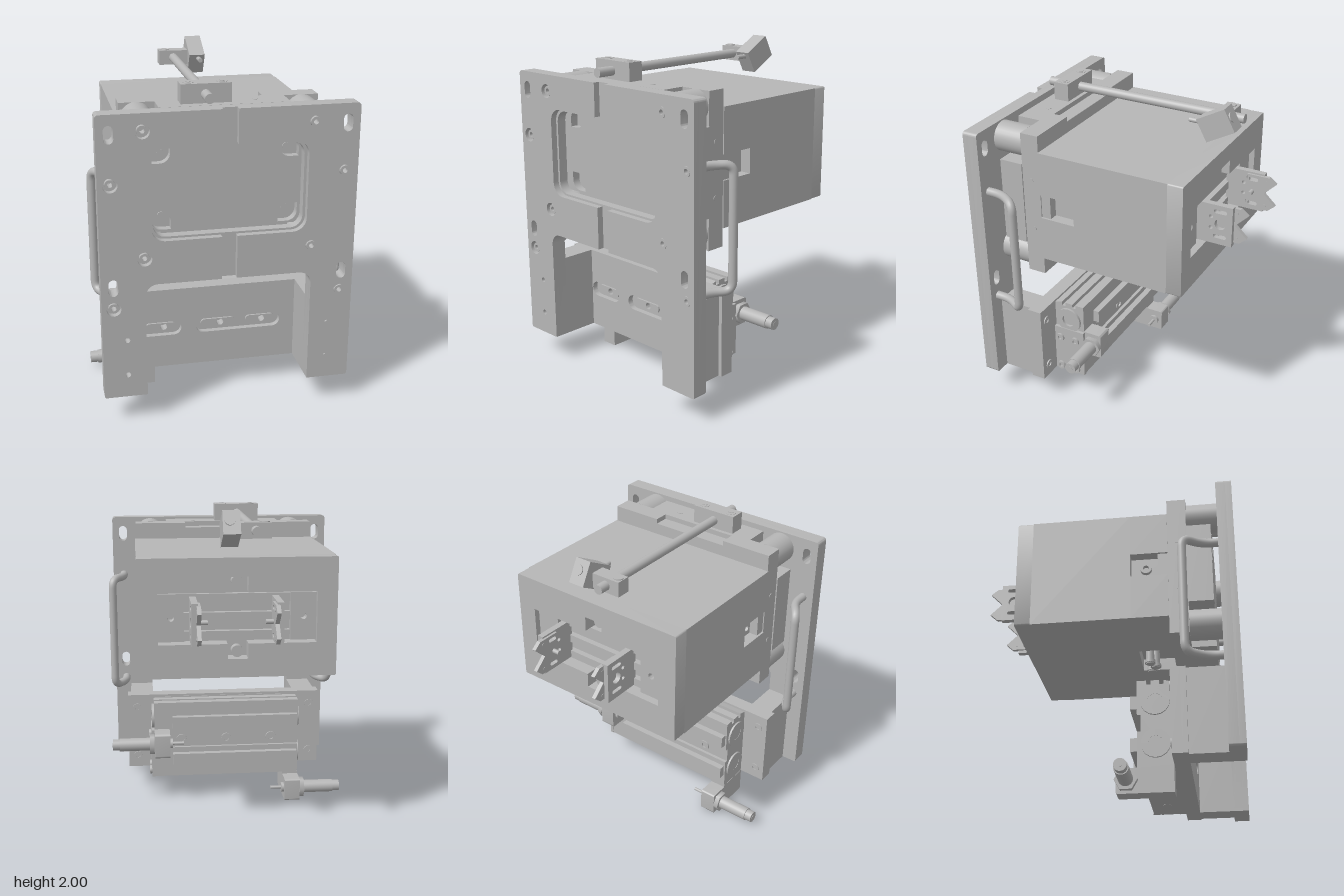
import * as THREE from 'three';
import { toCreasedNormals } from 'three/addons/utils/BufferGeometryUtils.js';

const metal = new THREE.MeshStandardMaterial({ color: 0xb6b6b6 });
metal.name = 'grey metal';

// Outline from [x, y, cornerRadius] points
function outline(pts, Type = THREE.Shape) {
  const s = new Type();
  pts.forEach(([x, y, r = 0], i) => {
    const toward = (q) => {
      const d = Math.hypot(q[0] - x, q[1] - y);
      return [x + (q[0] - x) * r / d, y + (q[1] - y) * r / d];
    };
    const a = toward(pts[(i + pts.length - 1) % pts.length]);
    const b = toward(pts[(i + 1) % pts.length]);
    if (i) s.lineTo(...a); else s.moveTo(...a);
    if (r) s.bezierCurveTo(a[0] + (x - a[0]) * 0.55, a[1] + (y - a[1]) * 0.55,
      b[0] + (x - b[0]) * 0.55, b[1] + (y - b[1]) * 0.55, ...b);
  });
  s.closePath();
  return s;
}
const rect = (x0, x1, y0, y1, r = 0, Type) =>
  outline([[x0, y0, r], [x1, y0, r], [x1, y1, r], [x0, y1, r]], Type);
const hole = (x, y, r) => new THREE.Path().absarc(x, y, r, 0, Math.PI * 2, true);
// Adds the mirror image of a half outline across x = 0
const mirrored = (pts) => [...pts, ...pts.map(([x, y, r]) => [-x, y, r]).reverse()];

export function createModel() {
  const root = new THREE.Group();
  root.name = 'gripperModule';

  const add = (name, geo, parent = root) => {
    const m = new THREE.Mesh(geo, metal);
    m.name = name;
    parent.add(m);
    return m;
  };
  const box = (name, x0, x1, y0, y1, z0, z1, parent) => {
    const g = new THREE.BoxGeometry(x1 - x0, y1 - y0, z1 - z0);
    g.translate((x0 + x1) / 2, (y0 + y1) / 2, (z0 + z1) / 2);
    return add(name, g, parent);
  };
  // Extrusion along z from z0 to z1
  const slab = (name, shape, z0, z1, holes = [], parent) => {
    shape.holes.push(...holes);
    const g = new THREE.ExtrudeGeometry(shape, { depth: z1 - z0, bevelEnabled: false, curveSegments: 8 });
    g.translate(0, 0, z0);
    return add(name, toCreasedNormals(g, 0.6), parent);
  };
  // Extrusion along x, with the outline given in (z, y)
  const bar = (name, shape, x0, x1, holes = [], parent) => {
    shape.holes.push(...holes);
    const g = new THREE.ExtrudeGeometry(shape, { depth: x1 - x0, bevelEnabled: false, curveSegments: 8 });
    g.rotateY(-Math.PI / 2).translate(x1, 0, 0);
    return add(name, toCreasedNormals(g, 0.6), parent);
  };
  // Cylinder centred at a point, along the given axis
  const cyl = (name, axis, r, len, x, y, z, parent, sides = 24) => {
    const g = new THREE.CylinderGeometry(r, r, len, sides);
    if (axis === 'z') g.rotateX(Math.PI / 2);
    if (axis === 'x') g.rotateZ(Math.PI / 2);
    g.translate(x, y, z);
    return add(name, g, parent);
  };
  // Socket-head bolt: ring with an open centre, along z or x
  const bolt = (axis, r, len, x, y, z, parent) => {
    const make = axis === 'z' ? slab : bar;
    const [u, v, w] = axis === 'z' ? [x, y, z] : [z, y, x];
    const s = new THREE.Shape().absarc(u, v, r, 0, Math.PI * 2);
    return make('bolt', s, w - len / 2, w + len / 2, [hole(u, v, r * 0.5)], parent);
  };

  // Front plate: rear layer in one piece, front layer in two halves with a groove between
  const bolts = [[0.48, 1.74], [0.48, 1.01], [0.66, 1.45], [0.66, 0.72]];
  const plateHoles = (s, r) => [
    ...bolts.map(([x, y]) => hole(s * x, y, r)),
    ...[0.52, 0.3].map((y) => hole(s * 0.59, y, 0.016)),
    ...[1.73, 0.85].map((y) => rect(s * 0.66 - 0.027, s * 0.66 + 0.027, y - 0.05, y + 0.05, 0.0265, THREE.Path)),
  ];
  slab('platePart', outline(mirrored([[0.48, 0.855, 0.07], [0.48, 0.16], [0.73, 0.16, 0.012], [0.73, 1.84, 0.02]])),
    0.69, 0.747,
    [...plateHoles(1, 0.022), ...plateHoles(-1, 0.022), rect(-0.428, 0.428, 1.122, 1.628, 0.07, THREE.Path)]);
  for (const s of [-1, 1]) {
    const half = [[0.043, 1.84], [0.73, 1.84, 0.02], [0.73, 0.16, 0.012], [0.48, 0.16], [0.48, 0.855, 0.07],
      [0.043, 0.855], [0.043, 1.11], [0.443, 1.11, 0.08], [0.443, 1.643, 0.08], [0.043, 1.643]];
    slab('plateFrontHalf', outline(half.map(([x, y, r]) => [s * x, y, r])), 0.747, 0.785, plateHoles(s, 0.042));
    for (const [x, y] of bolts) bolt('z', 0.029, 0.03, s * x, y, 0.758);

    // Stand-off posts behind the plate
    for (const y of [1.74, 1.01]) cyl('standoff', 'z', 0.092, 0.19, s * 0.475, y, 0.595, root, 32);

    // Bent side handle
    const p = [[0.66, 1.45, 0.69], [0.66, 1.45, 0.59], [0.735, 1.45, 0.478], [0.735, 0.72, 0.478],
      [0.66, 0.72, 0.59], [0.66, 0.72, 0.69]].map(([x, y, z]) => new THREE.Vector3(s * x, y, z));
    const path = new THREE.CurvePath();
    let from = p[0];
    for (let i = 1; i < p.length - 1; i++) {
      const a = p[i].clone().add(p[i - 1].clone().sub(p[i]).setLength(0.06));
      const b = p[i].clone().add(p[i + 1].clone().sub(p[i]).setLength(0.06));
      path.add(new THREE.LineCurve3(from, a));
      path.add(new THREE.QuadraticBezierCurve3(a, p[i], b));
      from = b;
    }
    path.add(new THREE.LineCurve3(from, p[p.length - 1]));
    add('handle', new THREE.TubeGeometry(path, 120, 0.026, 16));
  }

  // Adapter flange with a shallow channel in its top and bottom edges
  slab('flange', outline(mirrored([[0.25, 0.95], [0.25, 0.92], [0.572, 0.92], [0.572, 1.83],
    [0.25, 1.83], [0.25, 1.8]])), 0.385, 0.475);
  slab('flangeBack', rect(-0.572, 0.572, 0.92, 1.83), 0.475, 0.5);

  // Adapter body with recessed corners facing the window
  const cross = outline(mirrored([[0.37, 0.92], [0.37, 1.115], [0.58, 1.115], [0.58, 1.635], [0.37, 1.635], [0.37, 1.83]]));
  slab('adapterBack', cross.clone(), 0.5, 0.6);
  slab('adapterFront', cross, 0.6, 0.648, [-1, 1].flatMap((s) => [
    [[0.31, 1.126], [0.31, 1.235, 0.06], [0.424, 1.235], [0.424, 1.126, 0.06]],
    [[0.31, 1.624], [0.31, 1.515, 0.06], [0.424, 1.515], [0.424, 1.624, 0.06]],
  ].map((c) => outline(c.map(([x, y, r]) => [s * x, y, r]), THREE.Path))));
  for (const x of [-0.36, 0.36]) for (const y of [1.195, 1.56]) cyl('cornerPin', 'z', 0.022, 0.01, x, y, 0.602);
  for (const x of [-0.18, 0.19]) cyl('topPin', 'y', 0.016, 0.004, x, 1.83, 0.55);

  // Housing: front section with side and bottom pockets, solid middle, rear frame with opening
  slab('housingFront', outline([[-0.578, 1.03], [-0.13, 1.03], [-0.13, 1.11], [0.16, 1.11], [0.16, 1.03], [0.578, 1.03],
    [0.578, 1.31], [0.51, 1.31], [0.51, 1.46], [0.578, 1.46], [0.578, 1.73], [-0.578, 1.73],
    [-0.578, 1.46], [-0.51, 1.46], [-0.51, 1.31], [-0.578, 1.31]]), 0.16, 0.385);
  box('housingMiddle', -0.578, 0.578, 1.03, 1.73, -0.44, 0.16);
  slab('housingRear', rect(-0.578, 0.578, 1.03, 1.73, 0.008), -0.535, -0.44, [outline(mirrored([
    [0.06, 1.14], [0.06, 1.23], [0.46, 1.23], [0.46, 1.53], [0.06, 1.53], [0.06, 1.62]]), THREE.Path)]);
  for (const s of [-1, 1]) {
    box('sidePocketStep', s * 0.535 - 0.03, s * 0.535 + 0.03, 1.31, 1.46, 0.325, 0.385);
    slab('gripperEndPlate', rect(s * 0.385 - 0.075, s * 0.385 + 0.075, 1.24, 1.52), -0.5, -0.44,
      [hole(s * 0.385, 1.38, 0.02)]);
    for (const y of [1.22, 1.54]) cyl('flangeScrew', 'x', 0.016, 0.006, s * 0.572, y, 0.445);
  }
  bolt('x', 0.035, 0.03, -0.52, 1.385, 0.25);
  for (const y of [1.27, 1.38, 1.49]) box('gripperRail', -0.31, 0.31, y - 0.025, y + 0.025, -0.475, -0.44);
  for (const y of [1.175, 1.585]) cyl('guidePin', 'z', 0.035, 0.05, 0, y, -0.465);

  // Air fittings below the housing
  for (const [x, z] of [[-0.04, 0.22], [0.08, 0.22], [0.02, 0.25]]) {
    cyl('fittingBody', 'y', 0.026, 0.13, x, 1.045, z);
    cyl('fittingCollar', 'y', 0.034, 0.02, x, 0.995, z);
  }

  // Two gripper fingers with V-shaped tips
  for (const s of [-1, 1]) {
    const at = (d) => 0.018 + s * d;
    const span = (a, b) => [Math.min(at(a), at(b)), Math.max(at(a), at(b))];
    bar('fingerBase', rect(-0.705, -0.46, 1.25, 1.5), ...span(0.222, 0.26),
      [hole(-0.63, 1.38, 0.034), ...[1.42, 1.35].map((y) => hole(-0.573, y, 0.012)),
        ...[1.3, 1.46].map((y) => rect(-0.67, -0.59, y - 0.012, y + 0.012, 0.011, THREE.Path))]);
    bar('fingerTip', outline([[-0.6, 1.27], [-0.74, 1.27], [-0.785, 1.31], [-0.71, 1.38], [-0.785, 1.455],
      [-0.74, 1.49], [-0.6, 1.49]]), ...span(0.208, 0.232),
    [1.3, 1.46].map((y) => rect(-0.67, -0.61, y - 0.012, y + 0.012, 0.011, THREE.Path)));
    cyl('fingerPeg', 'x', 0.014, 0.06, at(0.195), 1.38, -0.635);
    for (const y of [1.3, 1.46]) cyl('fingerScrew', 'x', 0.01, 0.028, at(0.22), y, -0.72);
  }

  // Sensor rod with its clamps and the tilted sensor head
  cyl('sensorRod', 'z', 0.028, 1.31, -0.1, 1.88, 0.055);
  box('frontClamp', -0.24, 0.047, 1.83, 1.94, 0.5, 0.597);
  for (const x of [-0.19, 0]) {
    cyl('clampScrew', 'y', 0.033, 0.004, x, 1.94, 0.548);
    cyl('clampSocket', 'y', 0.016, 0.004, x, 1.943, 0.548, root, 6);
  }
  box('rearClamp', -0.19, 0.01, 1.835, 1.925, -0.535, -0.45);
  cyl('clampScrew', 'y', 0.03, 0.006, -0.155, 1.927, -0.49);
  const head = new THREE.Group();
  head.name = 'sensorHead';
  head.position.set(0.042, 1.888, -0.497);
  head.rotation.x = 0.5;
  root.add(head);
  box('sensorBody', -0.05, 0.05, -0.0725, 0.0725, -0.0975, 0.0975, head);
  cyl('sensorScrew', 'z', 0.03, 0.01, 0.01, 0.01, -0.1, head);
  cyl('sensorCable', 'z', 0.014, 0.12, 0.052, 1.88, -0.38);

  // Lower mount: side blocks behind the plate legs and a slotted cross plate set well back
  for (const s of [-1, 1]) {
    box('legBlock', s * 0.555 - 0.075, s * 0.555 + 0.075, 0.16, 0.67, 0.475, 0.69);
    for (const y of [0.24, 0.58]) bolt('z', 0.03, 0.01, s * 0.59, y, 0.383);
  }
  slab('slotPlateFront', rect(-0.653, 0.653, 0.16, 0.67), 0.44, 0.475,
    [[-0.475, -0.225], [-0.135, 0.39]].map(([a, b]) => rect(a, b, 0.368, 0.462, 0.046, THREE.Path)));
  const slots = [[-0.44, -0.255, -0.33], [-0.1, 0.11, 0.02], [0.18, 0.36, 0.28]];
  slab('slotPlateBack', rect(-0.653, 0.653, 0.16, 0.67), 0.385, 0.44, slots.map(([, , x]) => hole(x, 0.415, 0.021)));
  for (const [a, b, x] of slots) slab('slotInsert', rect(a, b, 0.39, 0.44, 0.024), 0.44, 0.452, [hole(x, 0.415, 0.021)]);

  // Linear slide: grooved body, back rails, end caps
  bar('slideBody', outline([[0.39, 0.16], [0.18, 0.16], [0.18, 0.36], [0.2, 0.36], [0.2, 0.46], [0.18, 0.46],
    [0.18, 0.67], [0.235, 0.67], [0.235, 0.645], [0.26, 0.645], [0.26, 0.67], [0.31, 0.67], [0.31, 0.645],
    [0.335, 0.645], [0.335, 0.67], [0.39, 0.655]]), -0.48, 0.48);
  for (const y of [0.285, 0.54]) {
    box('slideRail', -0.47, 0.36, y - 0.04, y + 0.04, 0.14, 0.18);
    bolt('x', 0.085, 0.016, -0.484, y, 0.285);
    cyl('pistonEnd', 'x', 0.05, 0.016, -0.482, y, 0.285);
  }
  for (const x of [-0.3, 0, 0.3]) {
    bolt('z', 0.035, 0.012, x, 0.41, 0.196);
    cyl('undersideHole', 'y', 0.025, 0.004, x, 0.16, 0.28);
  }
  bolt('x', 0.085, 0.02, 0.485, 0.55, 0.285);
  box('slideEndCap', 0.48, 0.5, 0.16, 0.485, 0.175, 0.385);
  for (const y of [0.19, 0.41]) for (const z of [0.235, 0.345]) bolt('x', 0.028, 0.016, 0.506, y, z);

  // End-stop shock absorbers, one at each end
  for (const [s, y] of [[1, 0.41], [-1, 0.075]]) {
    const stop = new THREE.Group();
    stop.name = 'shockAbsorber';
    root.add(stop);
    cyl('barrel', 'x', 0.042, 0.21, s * 0.605, y, 0.118, stop);
    cyl('barrelTip', 'x', 0.036, 0.05, s * 0.73, y, 0.118, stop);
    cyl('capScrew', 'x', 0.016, 0.004, s * 0.755, y, 0.118, stop, 6);
    cyl('lockNut', 'x', 0.066, 0.03, s * 0.498, y, 0.118, stop, 6);
    cyl('stopPin', 'x', 0.01, 0.1, s * 0.34, y, 0.118, stop);
    cyl('stopCollar', 'x', 0.032, 0.02, s * 0.372, y, 0.118, stop);
  }
  bar('upperStopBlock', rect(0.06, 0.2, 0.325, 0.49, 0.015), 0.38, 0.48);
  bar('lowerStopBlock', outline([[0.06, 0, 0.01], [0.385, 0], [0.385, 0.16], [0.18, 0.16],
    [0.18, 0.147], [0.06, 0.147, 0.01]]), -0.482, -0.38);

  return root;
}
